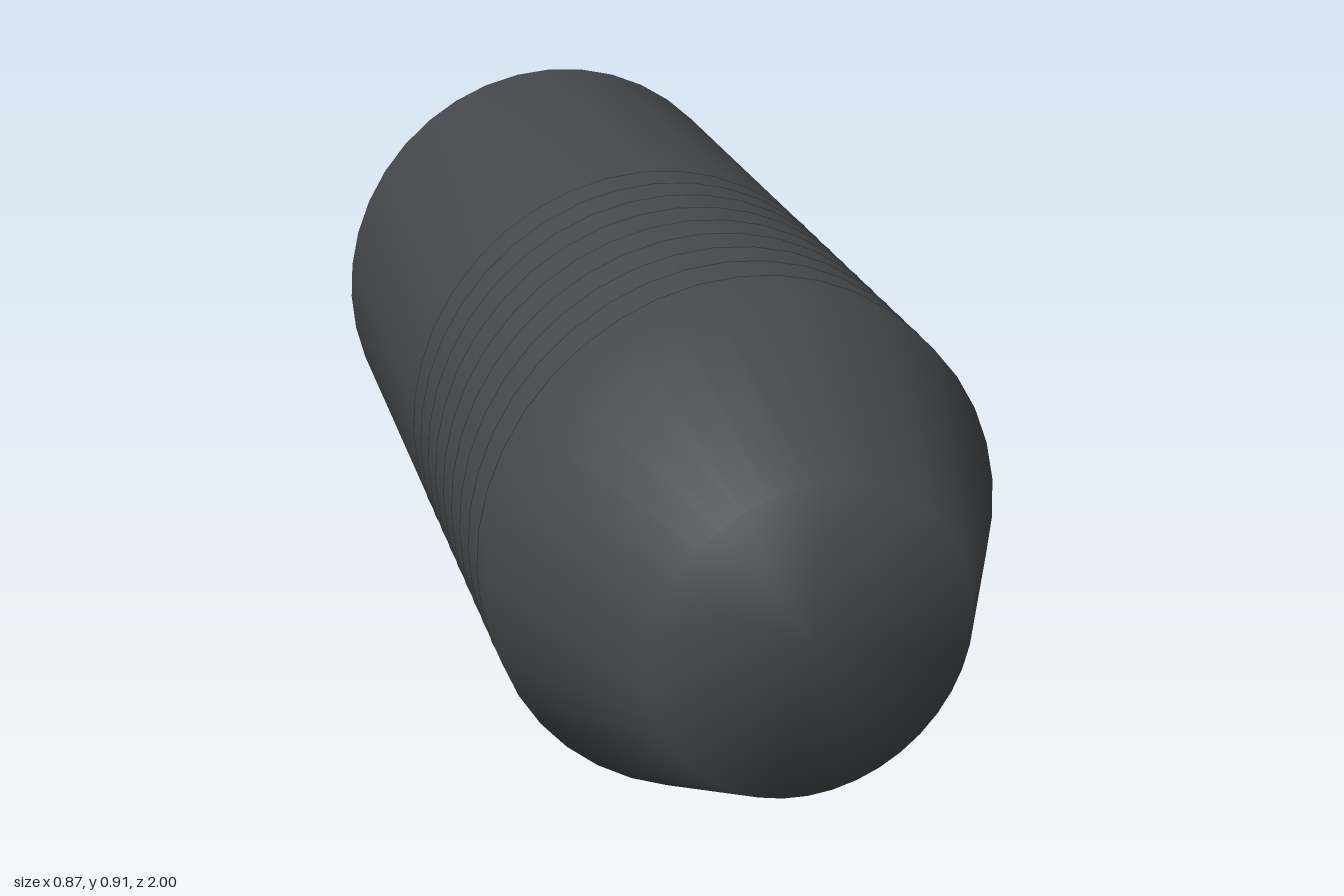
import * as THREE from 'three';

const SEGMENTS = 40;
const MID_Y = 0.4535;
const STRETCH = 1.045; // the cross-section is slightly taller than wide

const shell = new THREE.MeshStandardMaterial({ color: 0x45494d });
shell.name = 'charcoal shell';
const seam = new THREE.MeshStandardMaterial({ color: 0x303438 });
seam.name = 'dark seam';
const teal = new THREE.MeshStandardMaterial({ color: 0x3a7f8c });
teal.name = 'teal glow';

export function createModel() {
  const model = new THREE.Group();
  model.name = 'capsule';

  const add = (name, geometry, material, z = 0) => {
    const mesh = new THREE.Mesh(geometry, material);
    mesh.name = name;
    mesh.position.set(0, MID_Y, z);
    mesh.scale.set(1, STRETCH, 1);
    model.add(mesh);
  };

  // Revolved around z; points are [radius, z] from back to front
  const revolve = (points) => new THREE.LatheGeometry(
    points.map(([r, z]) => new THREE.Vector2(r, z)), SEGMENTS
  ).rotateX(Math.PI / 2);

  // Main hull with tapered ends and a softly shaded nose
  add('hull', revolve([
    [0.274, -0.905], [0.28, -0.897], [0.433, -0.555], [0.433, 0.7], [0.26, 1], [0, 1],
  ]), shell);

  // Flat rear wall and its rim
  add('rearWall', new THREE.CircleGeometry(0.274, SEGMENTS).rotateY(Math.PI), shell, -0.905);
  add('rearRim', new THREE.TorusGeometry(0.27, 0.005, 8, SEGMENTS), seam, -0.902);

  // Nine thin seams around the forward half
  for (let i = 0; i < 9; i++) {
    add('seam' + (i + 1), new THREE.TorusGeometry(0.4305, 0.0035, 6, SEGMENTS), seam, 0.113 + i * 0.0648);
  }

  // Floating engine ring and glowing disc behind the hull
  add('engineRing', new THREE.TorusGeometry(0.226, 0.01, 10, SEGMENTS), shell, -0.967);
  add('engineDisc', new THREE.CylinderGeometry(0.212, 0.212, 0.04, SEGMENTS).rotateX(Math.PI / 2), teal, -0.98);

  return model;
}
